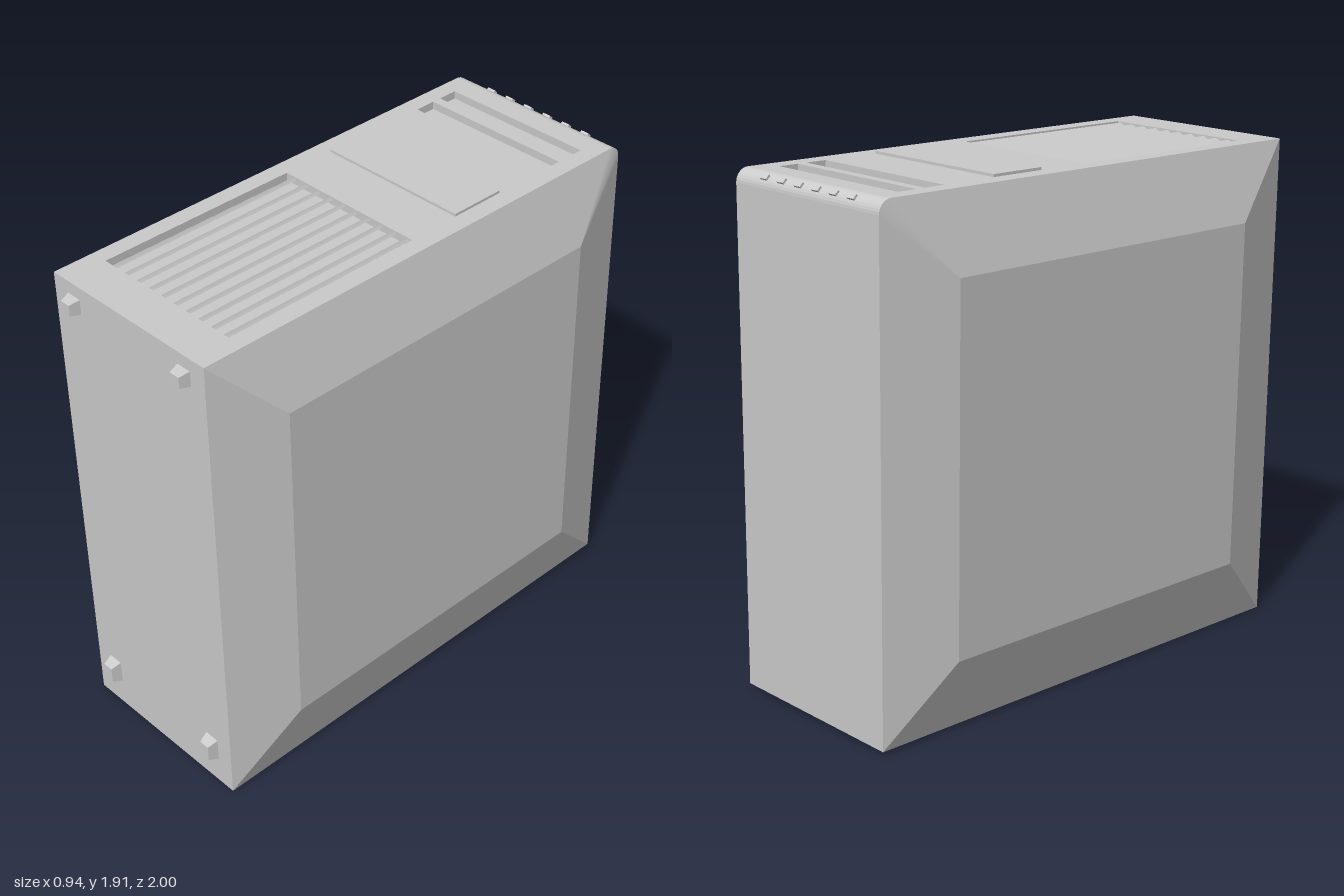
import * as THREE from 'three';

const W = 0.377, H = 0.943, D = 0.972, R = 0.05; // half width, height, length; edge radius
const material = new THREE.MeshStandardMaterial({ color: 0xcccccc, flatShading: true });

function add(group, name, geometry, x = 0, y = 0, z = 0) {
  const mesh = new THREE.Mesh(geometry, material);
  mesh.name = name;
  mesh.position.set(x, y, z);
  group.add(mesh);
  return mesh;
}

// Geometry from convex polygons, each a loop of [x, y, z] corners
function fromPolygons(polygons) {
  const points = [];
  for (const p of polygons)
    for (let i = 1; i < p.length - 1; i++) points.push(...p[0], ...p[i], ...p[i + 1]);
  const geometry = new THREE.BufferGeometry();
  geometry.setAttribute('position', new THREE.Float32BufferAttribute(points, 3));
  geometry.computeVertexNormals();
  return geometry;
}

// Horizontal plate with rectangular openings; each rectangle is [half width, z0, z1]
function plate(outer, openings, depth) {
  const outline = (path, [w, z0, z1]) => {
    path.moveTo(-w, -z1);
    path.lineTo(w, -z1);
    path.lineTo(w, -z0);
    path.lineTo(-w, -z0);
    path.closePath();
    return path;
  };
  const shape = outline(new THREE.Shape(), outer);
  for (const o of openings) shape.holes.push(outline(new THREE.Path(), o));
  return new THREE.ExtrudeGeometry(shape, { depth, bevelEnabled: false }).rotateX(-Math.PI / 2);
}

export function createModel() {
  const model = new THREE.Group();
  model.name = 'computerTower';
  const tower = new THREE.Group();
  tower.name = 'tower';
  model.add(tower);

  // Side outline as [z, y, inner corner], with a rounded upper back edge
  const outline = [[D, -H, 0], [-D, -H, 1]];
  for (let i = 0; i <= 8; i++) {
    const a = (i / 8) * Math.PI / 2;
    outline.push([-D + R - R * Math.cos(a), H - R + R * Math.sin(a), 2]);
  }
  outline.push([D, H, 3]);
  const inner = [[0.7, -0.667], [-0.7, -0.667], [-0.7, 0.667], [0.7, 0.667]];
  const next = i => outline[(i + 1) % outline.length];

  // Front, back and rounded edge
  const shell = [];
  outline.forEach((p, i) => {
    if (i === 0 || i === outline.length - 2) return;
    const q = next(i);
    shell.push([[W, p[1], p[0]], [-W, p[1], p[0]], [-W, q[1], q[0]], [W, q[1], q[0]]]);
  });
  add(tower, 'shell', fromPolygons(shell));

  // Bulged side panels with sloping borders
  for (const s of [1, -1]) {
    const corner = k => [s * 0.455, inner[k][1], inner[k][0]];
    const faces = [[0, 1, 2, 3].map(corner)];
    outline.forEach((p, i) => {
      const q = next(i);
      const face = [[s * W, p[1], p[0]], [s * W, q[1], q[0]], corner(q[2])];
      if (p[2] !== q[2]) face.push(corner(p[2]));
      faces.push(face);
    });
    if (s < 0) faces.forEach(f => f.reverse());
    add(tower, s > 0 ? 'leftSidePanel' : 'rightSidePanel', fromPolygons(faces));
  }

  // Top plate with two drive slots and a grille opening
  const slots = [[0.31, -0.84, -0.762], [0.31, -0.725, -0.642]];
  const grille = [0.31, 0.006, 0.811];
  add(tower, 'topPlate', plate([W, -D + R, D], [...slots, grille], 0.03), 0, H - 0.03);
  add(tower, 'topFloor', new THREE.BoxGeometry(2 * W - 0.02, 0.01, 1.88), 0, H - 0.035, 0.01);
  add(tower, 'bayCover', new THREE.BoxGeometry(0.615, 0.02, 0.219), 0, H, -0.312);

  // Slanted grille slats
  for (let i = 0; i < 10; i++) {
    const slat = add(tower, 'grilleSlat', new THREE.BoxGeometry(0.036, 0.008, 0.803),
      -0.279 + i * 0.062, H - 0.015, 0.4085);
    slat.rotation.z = 0.5;
  }

  // Buttons on the rounded edge
  for (let i = 0; i < 6; i++) {
    const button = add(tower, 'button', new THREE.BoxGeometry(0.034, 0.012, 0.02),
      -0.23 + i * 0.092, H - R + R * 0.72, -D + R - R * 0.72);
    button.rotation.x = -Math.PI / 4;
  }

  // Recessed underside with its raised sections
  add(tower, 'bottomFrame', plate([W, -D, D], [[0.287, -0.875, 0.885]], 0.05), 0, -H);
  add(tower, 'bottomFloor', new THREE.BoxGeometry(2 * W - 0.02, 0.01, 1.92), 0, -H + 0.055);
  add(tower, 'powerSection', new THREE.BoxGeometry(0.574, 0.025, 0.515), 0, -H + 0.04, 0.627);
  add(tower, 'portSection', new THREE.BoxGeometry(0.574, 0.025, 0.24), 0, -H + 0.04, -0.72);
  for (const [x, z] of [[0.2, -0.52], [-0.13, -0.5]])
    add(tower, 'portBlock', new THREE.BoxGeometry(0.15, 0.015, 0.12), x, -H + 0.045, z);

  // Four tapered feet on the front face
  for (const x of [-0.277, 0.277])
    for (const [y, h] of [[0.865, 0.058], [-0.782, 0.09]]) {
      const foot = new THREE.CylinderGeometry(0.5, 0.72, 1, 4).rotateY(Math.PI / 4)
        .rotateX(Math.PI / 2).scale(0.06, h, 0.04);
      add(tower, 'foot', foot, x, y, D + 0.019);
    }

  // The whole tower leans very slightly
  tower.rotation.set(0.0065, -0.011, 0.0115);
  tower.position.set(-0.003, 0.955, -0.0125);
  return model;
}
